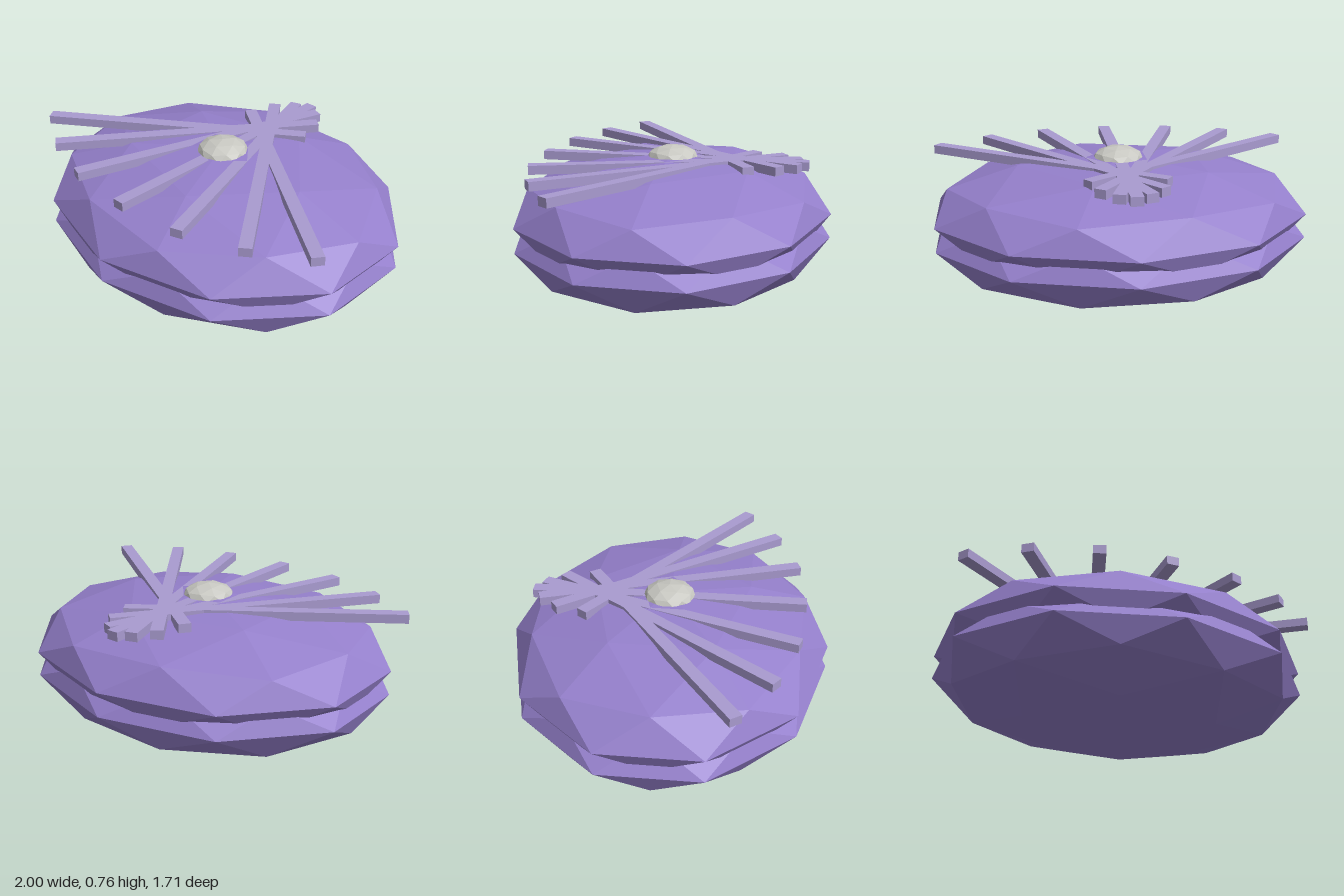
import * as THREE from 'three';

const material = (color) => new THREE.MeshStandardMaterial({ color, flatShading: true });

// Faceted ball squashed to the given radii, with a corner pointing straight up
function squashedBall(name, rx, ry, rz, y, mat) {
  const geo = new THREE.IcosahedronGeometry(1, 1);
  geo.rotateZ(-Math.atan(2 / (1 + Math.sqrt(5))));
  geo.scale(rx, ry, rz);
  geo.computeVertexNormals();
  const mesh = new THREE.Mesh(geo, mat);
  mesh.name = name;
  mesh.position.y = y;
  return mesh;
}

// Flat bar laid between two points [x, z]
function bar(name, [x0, z0], [x1, z1], mat) {
  const length = Math.hypot(x1 - x0, z1 - z0);
  const mesh = new THREE.Mesh(new THREE.BoxGeometry(0.065, 0.047, length), mat);
  mesh.name = name;
  mesh.position.set((x0 + x1) / 2, 0.687, (z0 + z1) / 2);
  mesh.rotation.y = Math.atan2(x1 - x0, z1 - z0);
  return mesh;
}

export function createModel() {
  const group = new THREE.Group();
  const shellMat = material(0x9580cc);
  const ribMat = material(0xa99bd0);

  // Two overlapping shell halves
  group.add(squashedBall('lowerShell', 1.025, 0.295, 0.855, 0.3, shellMat));
  group.add(squashedBall('upperShell', 1.025, 0.295, 0.855, 0.43, shellMat));

  // Pearl set in the top
  group.add(squashedBall('pearl', 0.138, 0.07, 0.14, 0.7, material(0xc8c8c2)));

  // Fan of crossing ribs: long ends to the front, short ends at the back
  const ribs = new THREE.Group();
  ribs.name = 'ribFan';
  ribs.add(bar('centreRib', [0, -0.73], [0, 0.72], ribMat));
  const pairs = [
    [[-0.08, -0.685], [0.375, 0.685]],
    [[-0.16, -0.59], [0.705, 0.57]],
    [[-0.205, -0.435], [0.981, 0.393]],
  ];
  pairs.forEach(([back, front], i) => {
    for (const s of [1, -1]) {
      const side = s > 0 ? 'left' : 'right';
      ribs.add(bar(`${side}Rib${i + 1}`, [s * back[0], back[1]], [s * front[0], front[1]], ribMat));
    }
  });
  group.add(ribs);

  return group;
}
